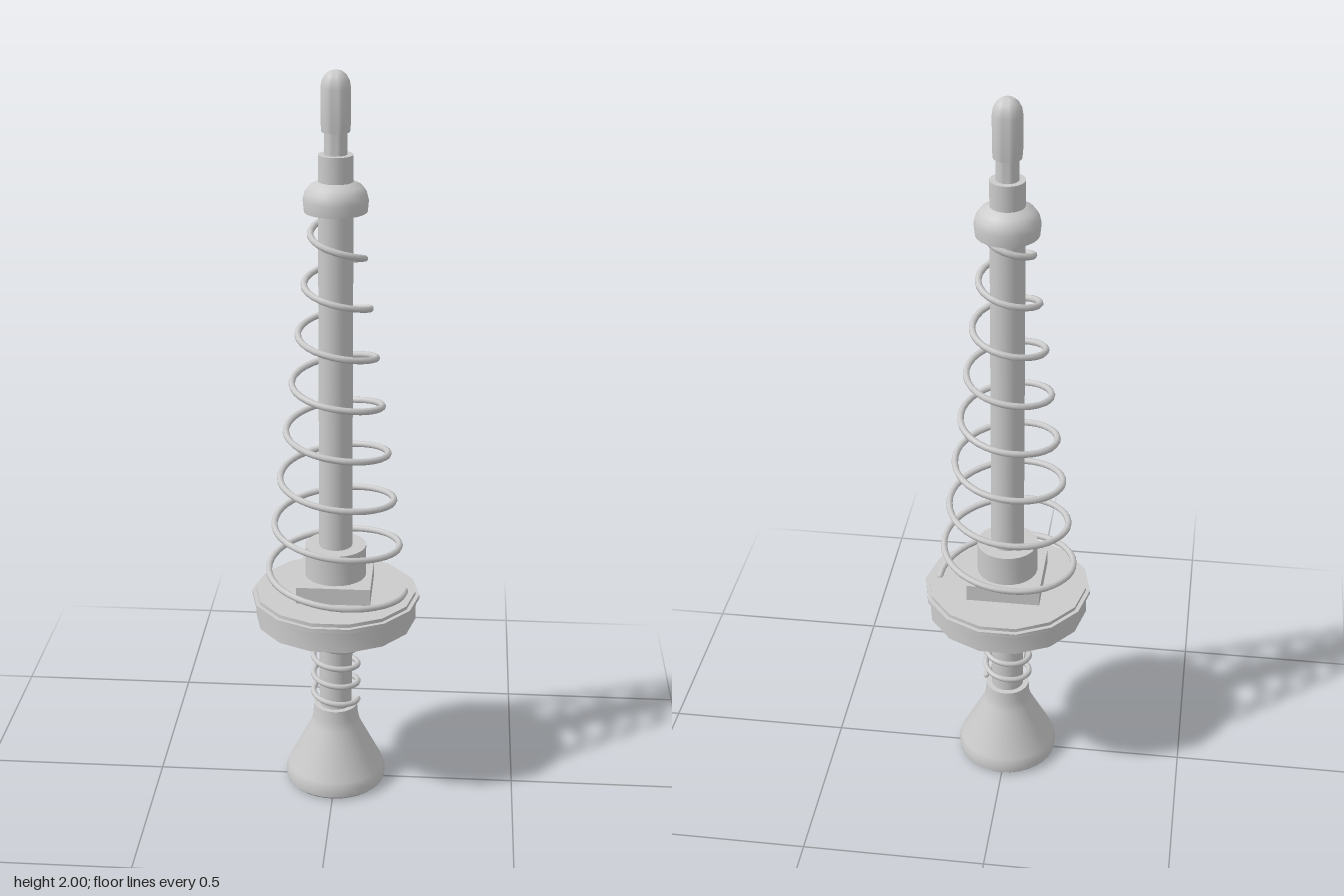
import * as THREE from 'three';
import { toCreasedNormals } from 'three/addons/utils/BufferGeometryUtils.js';

const material = new THREE.MeshStandardMaterial({ color: 0xcccccc });

// Conical or straight coil rising from +x through the front.
class Coil extends THREE.Curve {
  constructor(y0, y1, r0, r1, turns) {
    super();
    Object.assign(this, { y0, y1, r0, r1, turns });
  }
  getPoint(t, target = new THREE.Vector3()) {
    const a = t * this.turns * Math.PI * 2;
    const r = THREE.MathUtils.lerp(this.r0, this.r1, t);
    return target.set(r * Math.cos(a), THREE.MathUtils.lerp(this.y0, this.y1, t), r * Math.sin(a));
  }
}

export function createModel() {
  const group = new THREE.Group();

  const add = (name, geometry) => {
    const mesh = new THREE.Mesh(geometry, material);
    mesh.name = name;
    group.add(mesh);
    return mesh;
  };
  // Turned part from [radius, height] pairs, listed from the bottom up
  const turned = (name, profile, sides = 24) => {
    const points = profile.map(([r, y]) => new THREE.Vector2(r, y));
    const lathe = new THREE.LatheGeometry(points, sides, Math.PI / 2);
    return add(name, toCreasedNormals(lathe, 0.6));
  };
  const spring = (name, coil, wire) => {
    const tube = new THREE.TubeGeometry(coil, Math.round(coil.turns * 32), wire, 8);
    add(name, tube);
    // Closed wire ends
    for (const t of [0, 1]) {
      const end = add(name + 'End', new THREE.SphereGeometry(wire, 8, 6));
      end.position.copy(coil.getPoint(t));
    }
  };

  // Flared plunger foot
  turned('foot', [[0, 0], [0.13, 0], [0.138, 0.008], [0.14, 0.03], [0.133, 0.05],
    [0.069, 0.175], [0.063, 0.2], [0.06, 0.235], [0, 0.235]], 32);

  // Central rod through the whole stack
  turned('rod', [[0, 0.22], [0.045, 0.22], [0.045, 1.79], [0, 1.79]]);

  // Fourteen-sided flange with a projecting lip
  turned('flange', [[0, 0.505], [0.22, 0.505], [0.22, 0.567], [0.23, 0.567],
    [0.23, 0.578], [0.219, 0.578], [0.219, 0.588], [0, 0.588]], 14);

  // Square plate and round collar on the flange
  add('squarePlate', new THREE.BoxGeometry(0.2, 0.05, 0.2)).position.y = 0.61;
  turned('collar', [[0, 0.63], [0.083, 0.63], [0.083, 0.722], [0, 0.722]]);

  // Domed cap that holds the upper spring, hollow underneath
  turned('springCap', [[0.045, 1.665], [0.072, 1.665], [0.074, 1.645], [0.081, 1.645],
    [0.084, 1.675], [0.079, 1.695], [0.067, 1.711], [0.045, 1.722]]);

  // Narrow neck and rounded tip
  turned('neck', [[0, 1.78], [0.029, 1.78], [0.029, 1.86], [0, 1.86]]);
  turned('tip', [[0, 1.847], [0.036, 1.847], [0.038, 1.87], [0.038, 1.955],
    [0.035, 1.973], [0.027, 1.988], [0.015, 1.997], [0, 2]]);

  // Tapered upper spring and straight lower spring
  spring('upperSpring', new Coil(0.588, 1.657, 0.19, 0.057, 8), 0.0088);
  spring('lowerSpring', new Coil(0.248, 0.505, 0.062, 0.062, 4.65), 0.0078);

  return group;
}
